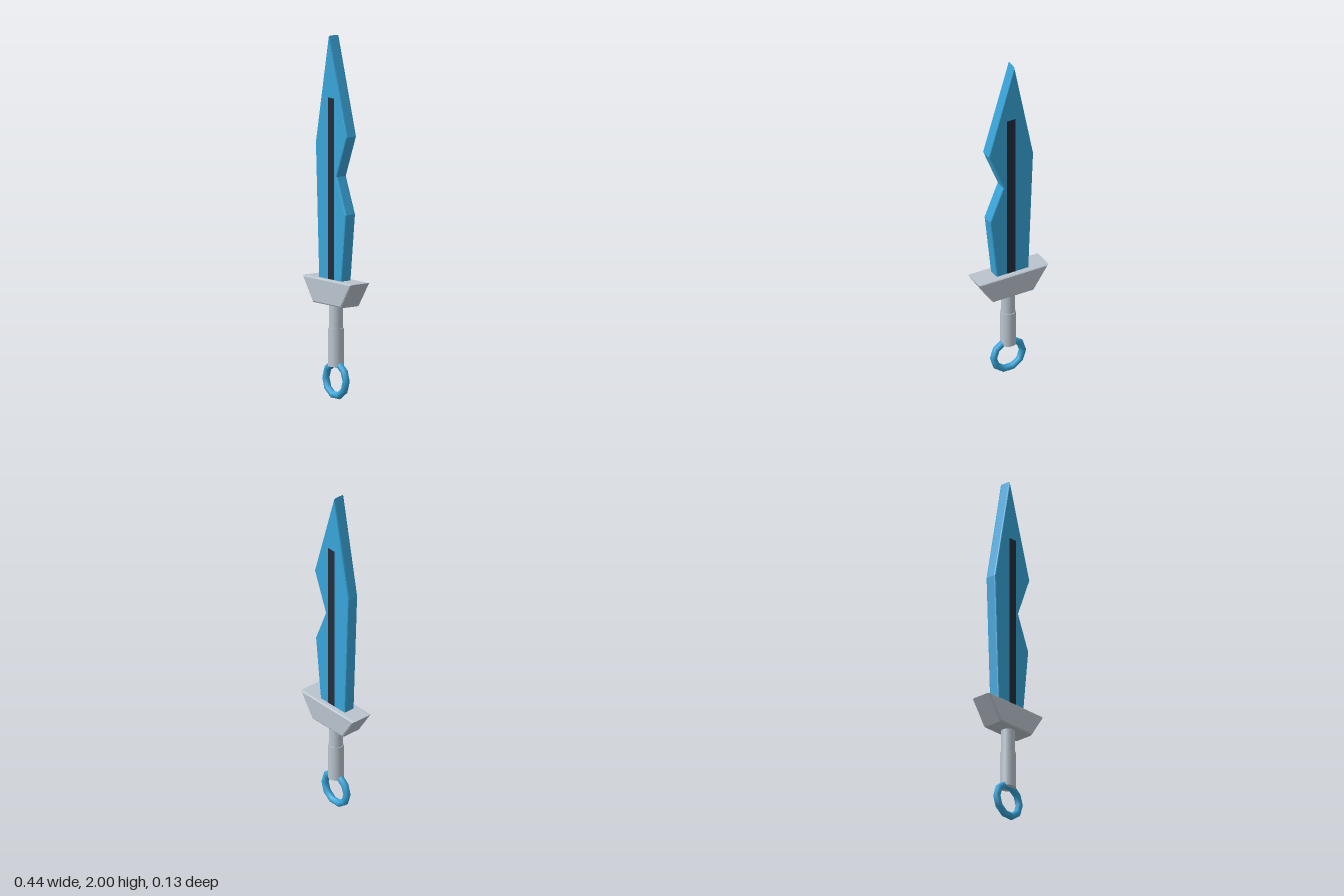
import * as THREE from 'three';

const blue = new THREE.MeshStandardMaterial({ color: 0x38a4d8 });
blue.name = 'blade blue';
const steel = new THREE.MeshStandardMaterial({ color: 0xbac4ce });
steel.name = 'steel grey';
const dark = new THREE.MeshStandardMaterial({ color: 0x232d3b });
dark.name = 'groove dark';

// Bevelled plate whose outline stays exactly on the given points
function plate(points, depth, bevel, bevelDepth) {
  const shape = new THREE.Shape(points.map(([x, y]) => new THREE.Vector2(x, y)));
  const geometry = new THREE.ExtrudeGeometry(shape, {
    depth: depth - 2 * bevelDepth,
    bevelSize: bevel,
    bevelOffset: -bevel,
    bevelThickness: bevelDepth,
    bevelSegments: 2,
  });
  return geometry.translate(0, 0, -(depth / 2 - bevelDepth));
}

export function createModel() {
  const model = new THREE.Group();
  model.name = 'dagger';

  const add = (name, geometry, material, x = 0, y = 0, z = 0) => {
    const mesh = new THREE.Mesh(geometry, material);
    mesh.name = name;
    mesh.position.set(x, y, z);
    model.add(mesh);
    return mesh;
  };

  // Notched blade, its foot sunk into the guard
  add('blade', plate([
    [-0.11, 0.64], [0.088, 0.64], [0.13, 1.03], [0.048, 1.23],
    [0.139, 1.46], [-0.022, 2], [-0.14, 1.4],
  ], 0.068, 0.007, 0.009), blue);

  // Dark groove on both faces of the blade
  for (const side of [1, -1]) {
    add(side > 0 ? 'frontGroove' : 'backGroove',
      new THREE.BoxGeometry(0.052, 1.01, 0.002), dark, 0, 1.155, side * 0.0338);
  }

  // Flared guard
  add('guard', plate([
    [-0.125, 0.52], [0.125, 0.52], [0.218, 0.66], [-0.218, 0.66],
  ], 0.13, 0.009, 0.014), steel);

  // Grip in two steps, thicker toward the pommel
  add('upperGrip', new THREE.CylinderGeometry(0.039, 0.039, 0.16, 32), steel, 0, 0.46);
  add('lowerGrip', new THREE.CylinderGeometry(0.043, 0.044, 0.21, 32), steel, 0, 0.285);

  // Ten-sided pommel ring
  add('pommelRing', new THREE.TorusGeometry(0.09, 0.02, 12, 10), blue, 0, 0.105);

  return model;
}
